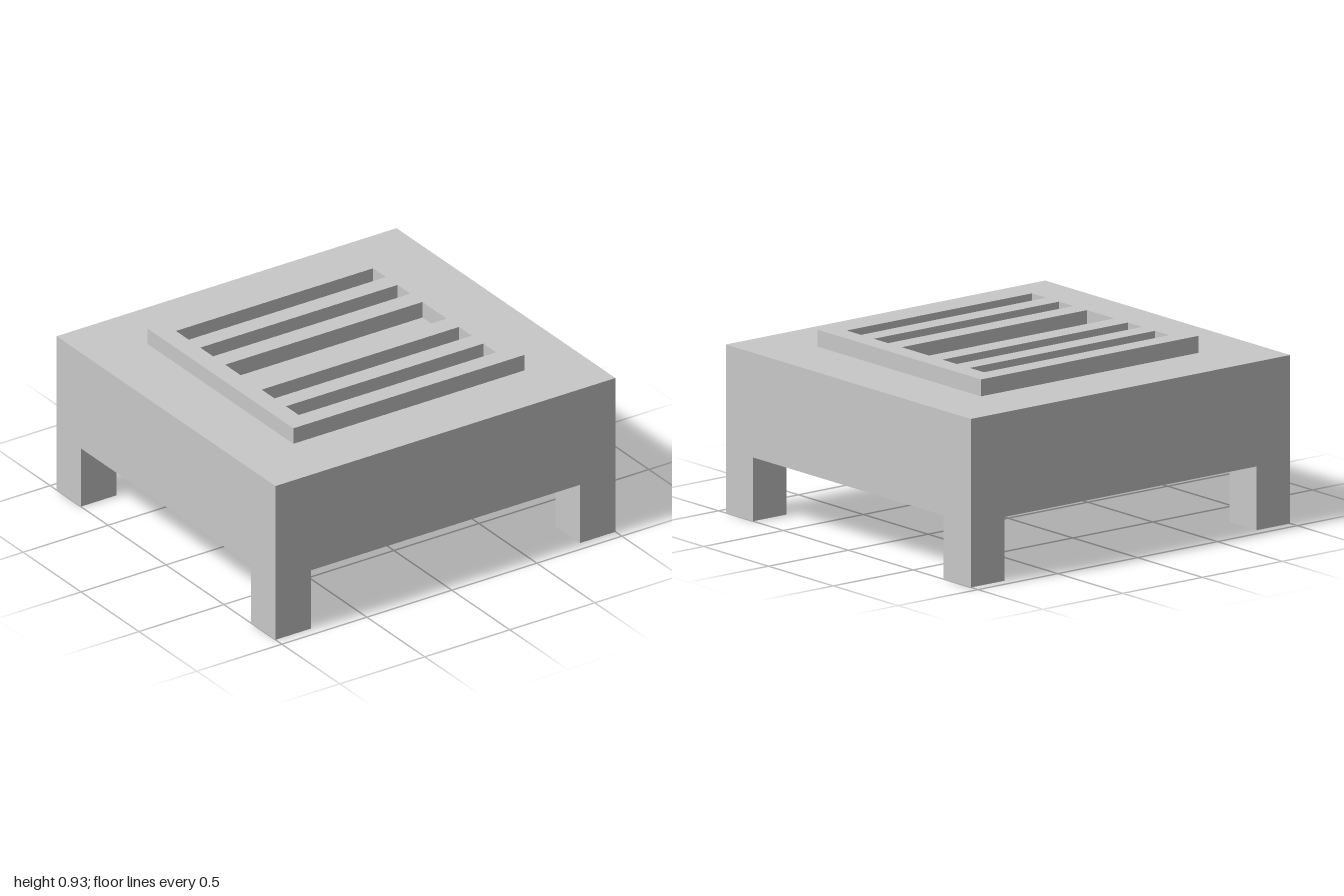
import * as THREE from 'three';

const X = 1, Z = 0.945;                       // half size of the body
const LEG_H = 0.32, DECK = 0.845, TOP = 0.93; // heights
const LEG = 0.21;
const SHAFT_X = 0.58, SHAFT_Z = 0.53;
const SLOTS = [[-0.53, -0.42], [-0.32, -0.21], [-0.105, 0.105], [0.21, 0.32], [0.42, 0.53]];

export function createModel() {
  const model = new THREE.Group();
  const grey = new THREE.MeshStandardMaterial({ color: 0xc8c8c8, side: THREE.DoubleSide });
  grey.name = 'light grey';

  const add = (name, geometry) => {
    const mesh = new THREE.Mesh(geometry, grey);
    mesh.name = name;
    model.add(mesh);
    return mesh;
  };

  // Four upright sheets round a rectangle, open above and below
  const sleeve = (name, x0, x1, z0, z1, y0, y1) => {
    const g = new THREE.BoxGeometry(x1 - x0, y1 - y0, z1 - z0);
    const index = Array.from(g.index.array);
    index.splice(12, 12);
    g.setIndex(index);
    g.clearGroups();
    add(name, g).position.set((x0 + x1) / 2, (y0 + y1) / 2, (z0 + z1) / 2);
  };

  // Level sheet with rectangular openings that all span the same x range
  const outline = (path, x, z0, z1) => {
    path.moveTo(-x, -z1);
    path.lineTo(x, -z1);
    path.lineTo(x, -z0);
    path.lineTo(-x, -z0);
    path.closePath();
    return path;
  };
  const sheet = (name, x, z, y, openings) => {
    const shape = outline(new THREE.Shape(), x, -z, z);
    for (const [z0, z1] of openings) shape.holes.push(outline(new THREE.Path(), SHAFT_X, z0, z1));
    add(name, new THREE.ShapeGeometry(shape).rotateX(-Math.PI / 2)).position.y = y;
  };

  // Hollow body and its deck, open under the grate bars
  sleeve('bodyWalls', -X, X, -Z, Z, LEG_H, DECK);
  const bars = SLOTS.slice(1).map(([z0], i) => [SLOTS[i][1], z0]);
  sheet('deck', X, Z, DECK, bars);

  // Hollow corner legs
  for (const sx of [-1, 1]) for (const sz of [-1, 1]) {
    const cx = sx * (X - LEG / 2), cz = sz * (Z - LEG / 2), r = LEG / 2;
    sleeve('leg', cx - r, cx + r, cz - r, cz + r, 0, LEG_H);
  }

  // Inner partitions in a pinwheel round the central shaft
  const h = DECK - LEG_H, midY = (DECK + LEG_H) / 2;
  for (const s of [1, -1]) {
    const along = add('crossPartition', new THREE.PlaneGeometry(X + SHAFT_X, h));
    along.position.set(s * (X - SHAFT_X) / 2, midY, s * SHAFT_Z);
    const across = add('lengthPartition', new THREE.PlaneGeometry(Z + SHAFT_Z, h));
    across.rotation.y = Math.PI / 2;
    across.position.set(s * SHAFT_X, midY, -s * (Z - SHAFT_Z) / 2);
  }

  // Raised grate with five slots
  sleeve('grateRim', -0.68, 0.68, -0.63, 0.63, DECK, TOP);
  sheet('grateTop', 0.68, 0.63, TOP, SLOTS);
  for (const [z0, z1] of SLOTS) sleeve('slotWalls', -SHAFT_X, SHAFT_X, z0, z1, DECK, TOP);

  return model;
}
